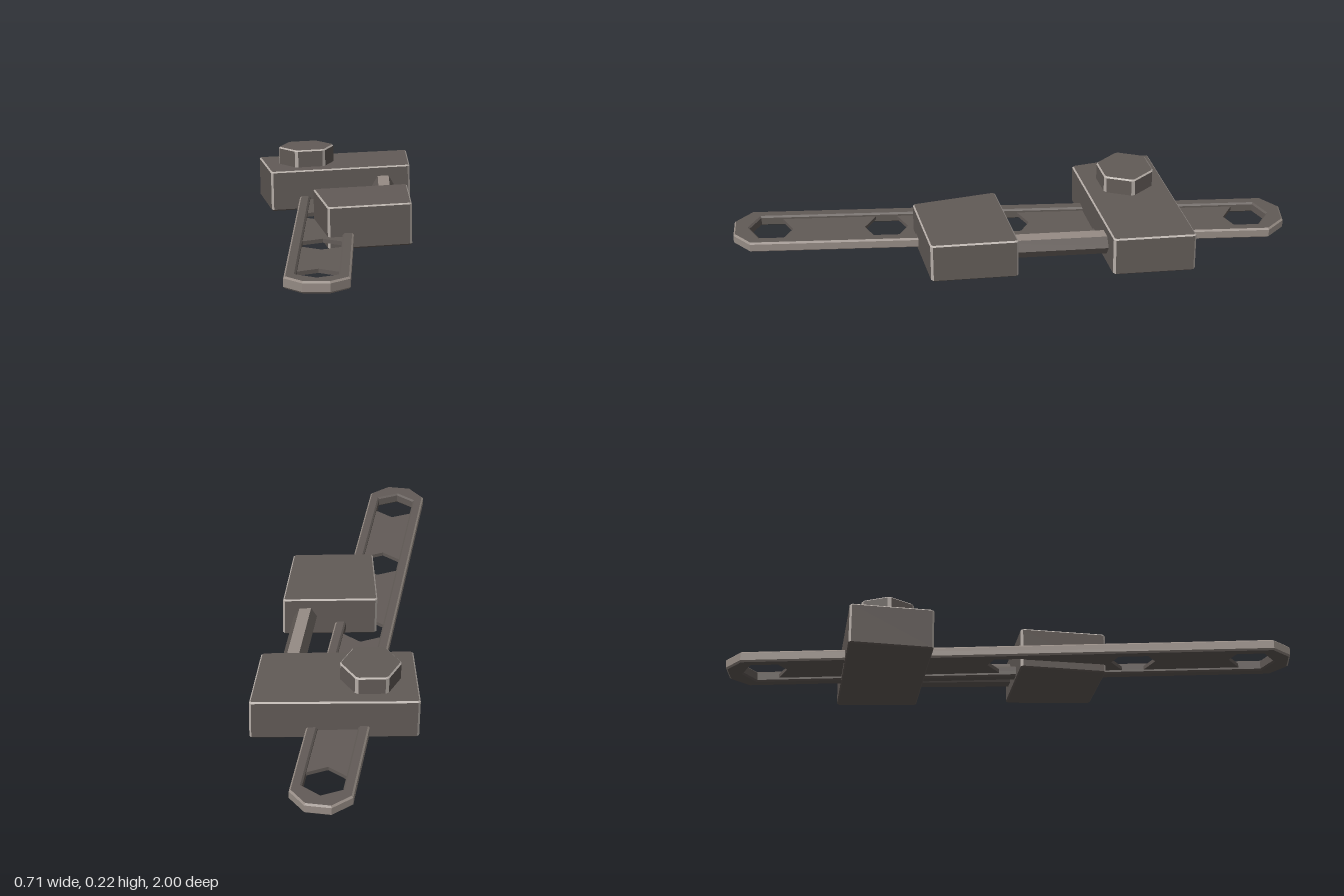
import * as THREE from 'three';

const makeMaterial = (name, color) => {
  const material = new THREE.MeshStandardMaterial({ color });
  material.name = name;
  return material;
};
const steel = makeMaterial('darkSteel', 0x625b57);
const brushed = makeMaterial('brushedSteel', 0x968c85);
const worn = makeMaterial('wornEdge', 0xb4aca6);

// Give triangles that satisfy a rule the second material of the pair
function paint(geometry, rule) {
  const pos = geometry.attributes.position;
  const corner = (i) => new THREE.Vector3().fromBufferAttribute(pos, i);
  geometry.clearGroups();
  for (let i = 0; i < pos.count; i += 3) {
    const triangle = new THREE.Triangle(corner(i), corner(i + 1), corner(i + 2));
    const normal = triangle.getNormal(new THREE.Vector3());
    geometry.addGroup(i, 3, rule(normal, triangle) ? 1 : 0);
  }
  return geometry;
}

// Upright prism from an outline given as [x, z], with eased edges
function prism(outline, height, bevel, holes = []) {
  // Outlines run counter-clockwise and holes clockwise, so all walls face outward
  const wind = (pts, clockwise) => {
    const path = pts.map(([x, z]) => new THREE.Vector2(x, -z));
    return THREE.ShapeUtils.isClockWise(path) === clockwise ? path : path.reverse();
  };
  const shape = new THREE.Shape(wind(outline, false));
  holes.forEach((h) => shape.holes.push(new THREE.Path(wind(h, true))));
  const geometry = new THREE.ExtrudeGeometry(shape, {
    depth: height - 2 * bevel,
    bevelEnabled: bevel > 0,
    bevelThickness: bevel,
    bevelSize: bevel,
    bevelOffset: -bevel,
    bevelSegments: 1,
  });
  geometry.rotateX(-Math.PI / 2);
  return geometry.translate(0, bevel, 0);
}

// Cut every corner of an outline by a small distance
function cutCorners(points, d) {
  const n = points.length;
  const toward = ([x, z], [u, v]) => {
    const t = d / Math.hypot(u - x, v - z);
    return [x + (u - x) * t, z + (v - z) * t];
  };
  return points.flatMap((p, i) => [
    toward(p, points[(i + n - 1) % n]), toward(p, points[(i + 1) % n]),
  ]);
}

// Solid block whose upright corners and upper edges are worn bright
function wornBlock(name, outline, height) {
  const isWorn = (normal, { a, b, c }) => {
    const span = (p, q) => Math.hypot(p.x - q.x, p.z - q.z);
    const narrow = Math.max(span(a, b), span(b, c), span(c, a)) < 0.02;
    return (narrow && Math.abs(normal.y) < 0.1) || (normal.y > 0.1 && normal.y < 0.95);
  };
  const geometry = paint(prism(cutCorners(outline, 0.008), height, 0.005), isWorn);
  const mesh = new THREE.Mesh(geometry, [steel, worn]);
  mesh.name = name;
  return mesh;
}

// Hexagon with two corners on the z axis
function hexagon(z, r) {
  return Array.from({ length: 6 }, (_, i) => {
    const a = (i * Math.PI) / 3;
    return [r * Math.sin(a), z + r * Math.cos(a)];
  });
}

// Long slotted bar: raised rim with a thin pierced web inside
function createBar() {
  const bar = new THREE.Group();
  bar.name = 'slottedBar';
  const w = 0.107, tip = 1.01, c = 0.062;
  const holeR = 0.079, end = 0.874;

  const outline = [
    [-w, -tip + c], [-w + c, -tip], [w - c, -tip], [w, -tip + c],
    [w, tip - c], [w - c, tip], [-w + c, tip], [-w, tip - c],
  ];
  const s = holeR * 0.866, k = end + holeR / 2;
  const slot = [[-s, -k], [0, -end - holeR], [s, -k], [s, k], [0, end + holeR], [-s, k]];

  // The outer wall of the rim is brighter than the rest
  const isOuterWall = (normal, { a, b, c: d }) =>
    Math.abs(normal.y) < 0.95 &&
    (a.x + b.x + d.x) * normal.x + (a.z + b.z + d.z) * normal.z > 0;
  const rim = new THREE.Mesh(
    paint(prism(outline, 0.04, 0.006, [slot]), isOuterWall), [steel, brushed]);
  rim.name = 'barRim';
  rim.position.y = -0.02;

  const holes = [-end, -0.43, 0.008, 0.453, end].map((z) => hexagon(z, holeR));
  const edge = [[-0.075, -0.96], [0.075, -0.96], [0.075, 0.96], [-0.075, 0.96]];
  const web = new THREE.Mesh(prism(edge, 0.014, 0, holes), steel);
  web.name = 'barWeb';
  web.position.y = -0.007;

  bar.add(rim, web);
  bar.position.set(-0.065, 0.038, 0);
  bar.rotation.set(-0.0075, -0.2, 0);
  return bar;
}

// Hexagonal rod joining the two blocks, bright along its top face
function createRod() {
  const a = new THREE.Vector3(0.225, 0.087, -0.4);
  const b = new THREE.Vector3(0.12, 0.085, 0.18);
  const hex = new THREE.CylinderGeometry(0.042, 0.042, a.distanceTo(b), 6);
  hex.rotateY(Math.PI / 6);
  hex.rotateX(Math.PI / 2);
  const geometry = hex.toNonIndexed();
  geometry.computeVertexNormals();
  const rod = new THREE.Mesh(paint(geometry, (normal) => normal.y > 0.9), [steel, brushed]);
  rod.name = 'linkRod';
  rod.position.copy(a).lerp(b, 0.5);
  rod.lookAt(b);
  return rod;
}

export function createModel() {
  const model = new THREE.Group();
  model.name = 'slidingClamp';
  model.add(createBar(), createRod());

  // Blocks and bolt lean slightly to one side
  const head = new THREE.Group();
  head.name = 'clampHead';
  const rearBlock = wornBlock('rearBlock',
    [[-0.23, -0.585], [0.354, -0.578], [0.307, -0.285], [-0.226, -0.285]], 0.151);
  const frontBlock = wornBlock('frontBlock',
    [[-0.12, 0.042], [0.226, 0.042], [0.178, 0.352], [-0.12, 0.352]], 0.151);

  // Hexagonal bolt head on the rear block
  const bolt = wornBlock('boltHead',
    hexagon(0, 0.109).map(([x, z]) => [z - 0.066, -x - 0.441]), 0.075);
  bolt.position.y = 0.141;

  head.add(rearBlock, frontBlock, bolt);
  head.position.set(0.003, 0.005, 0);
  head.rotation.z = 0.018;
  model.add(head);
  return model;
}
